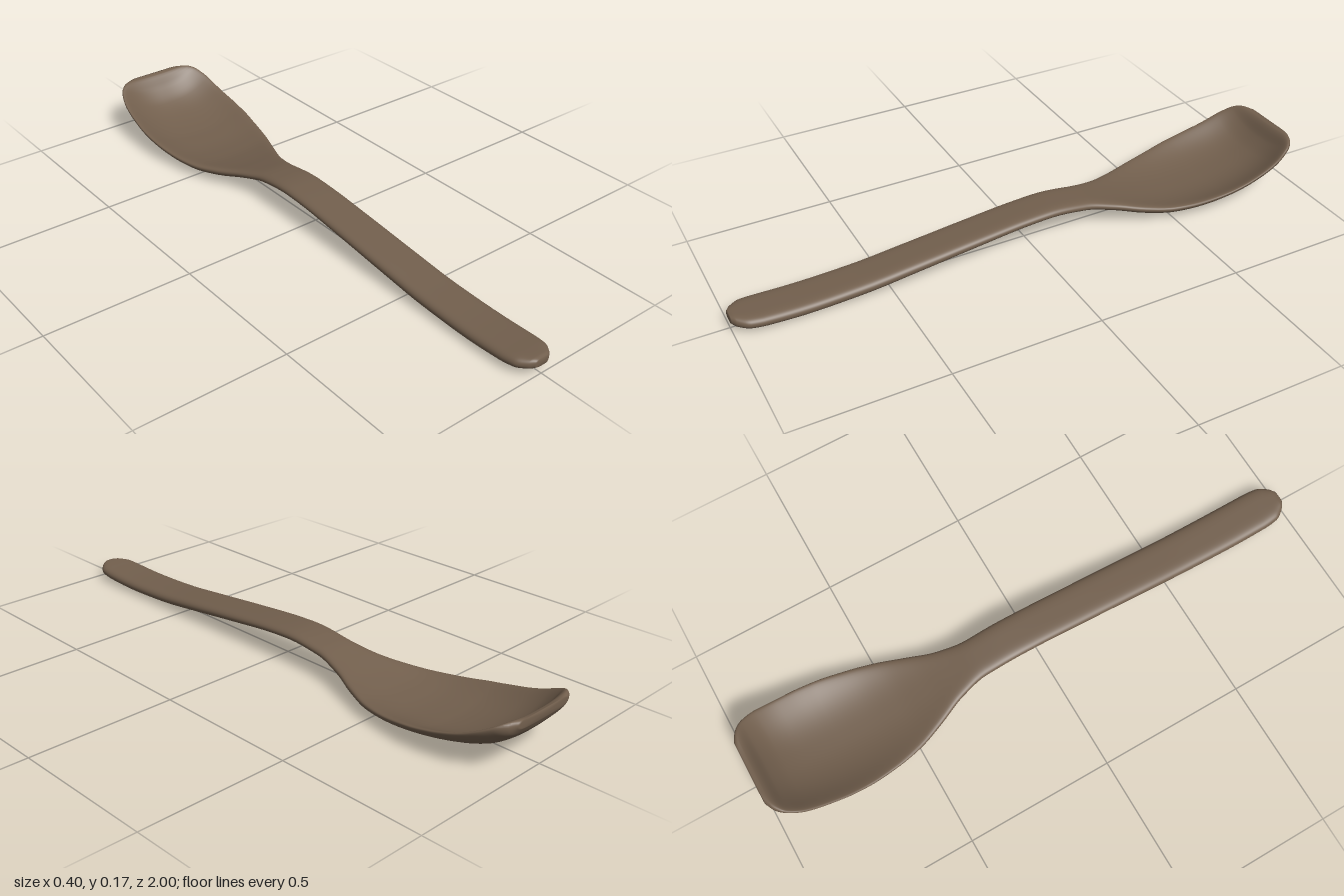
import * as THREE from 'three';

// Stations from handle end to spoon tip: z, half width, top y, bottom y (on the centre line), rise of the rim
const STATIONS = [
  [1, 0.025, 0.054, 0.029, 0],
  [0.985, 0.045, 0.057, 0.021, 0],
  [0.95, 0.067, 0.056, 0.015, 0],
  [0.9, 0.072, 0.053, 0.011, 0],
  [0.78, 0.073, 0.05, 0.007, 0],
  [0.6, 0.072, 0.056, 0.013, 0],
  [0.4, 0.071, 0.075, 0.034, 0],
  [0.2, 0.07, 0.096, 0.058, 0],
  [0, 0.069, 0.114, 0.079, 0],
  [-0.08, 0.069, 0.117, 0.082, 0],
  [-0.2, 0.069, 0.105, 0.07, 0],
  [-0.3, 0.088, 0.081, 0.047, 0.004],
  [-0.4, 0.128, 0.055, 0.021, 0.012],
  [-0.5, 0.165, 0.036, 0.005, 0.024],
  [-0.6, 0.187, 0.029, 0.001, 0.038],
  [-0.7, 0.199, 0.033, 0.007, 0.05],
  [-0.75, 0.2, 0.039, 0.013, 0.054],
  [-0.83, 0.195, 0.056, 0.028, 0.058],
  [-0.9, 0.187, 0.083, 0.05, 0.06],
  [-0.95, 0.17, 0.122, 0.083, 0.047],
  [-0.983, 0.144, 0.166, 0.117, 0.014],
  [-1, 0.112, 0.173, 0.146, 0.001],
];
const SUB = 5;    // rings per interval
const SIDES = 72; // points per ring

// Monotone cubic slope of one column at station i
function slope(i, k) {
  if (i === 0 || i === STATIONS.length - 1) {
    const a = STATIONS[i === 0 ? 0 : i - 1], b = STATIONS[i === 0 ? 1 : i];
    return (b[k] - a[k]) / (b[0] - a[0]);
  }
  const [p, q, r] = [STATIONS[i - 1], STATIONS[i], STATIONS[i + 1]];
  const d0 = (q[k] - p[k]) / (q[0] - p[0]), d1 = (r[k] - q[k]) / (r[0] - q[0]);
  return d0 * d1 <= 0 ? 0 : 2 * d0 * d1 / (d0 + d1);
}

function interpolate(i, t) {
  const a = STATIONS[i], b = STATIONS[i + 1], dz = b[0] - a[0];
  return a.map((v, k) => {
    if (k === 0) return v + dz * t;
    const t2 = t * t, t3 = t2 * t;
    return (2 * t3 - 3 * t2 + 1) * v + (t3 - 2 * t2 + t) * dz * slope(i, k)
      + (3 * t2 - 2 * t3) * b[k] + (t3 - t2) * dz * slope(i + 1, k);
  });
}

function spoonGeometry() {
  const rings = [];
  for (let i = 0; i < STATIONS.length - 1; i++)
    for (let s = 0; s < SUB; s++) rings.push(interpolate(i, s / SUB));
  rings.push(STATIONS[STATIONS.length - 1]);

  const pos = [], index = [];
  // Flat section with rounded edges, dished towards the rim
  for (const [z, w, top, bottom, dish] of rings) {
    const n = Math.max(4, 70 * w);
    for (let j = 0; j < SIDES; j++) {
      const a = j / SIDES * Math.PI * 2, u = Math.cos(a);
      const h = Math.sqrt(Math.max(0, 1 - Math.abs(u) ** n)) * Math.sign(Math.sin(a));
      pos.push(u * w, (top + bottom) / 2 + h * (top - bottom) / 2 + dish * Math.abs(u) ** 2.5, z);
    }
  }
  for (let i = 0; i < rings.length - 1; i++)
    for (let j = 0; j < SIDES; j++) {
      const k = (j + 1) % SIDES;
      const a = i * SIDES + j, b = i * SIDES + k, c = a + SIDES, d = b + SIDES;
      index.push(a, c, b, b, c, d);
    }
  // End caps
  const last = (rings.length - 1) * SIDES, c0 = pos.length / 3;
  for (const r of [rings[0], rings[rings.length - 1]]) pos.push(0, (r[2] + r[3]) / 2, r[0]);
  for (let j = 0; j < SIDES; j++) {
    const k = (j + 1) % SIDES;
    index.push(c0, j, k, c0 + 1, last + k, last + j);
  }
  const g = new THREE.BufferGeometry();
  g.setAttribute('position', new THREE.Float32BufferAttribute(pos, 3));
  g.setIndex(index);
  g.computeVertexNormals();
  return g;
}

export function createModel() {
  const group = new THREE.Group();
  group.name = 'servingSpoon';
  const wood = new THREE.MeshStandardMaterial({ color: 0x725f4d });
  wood.name = 'brown wood';
  const spoon = new THREE.Mesh(spoonGeometry(), wood);
  spoon.name = 'handleAndBowl';
  group.add(spoon);
  return group;
}
